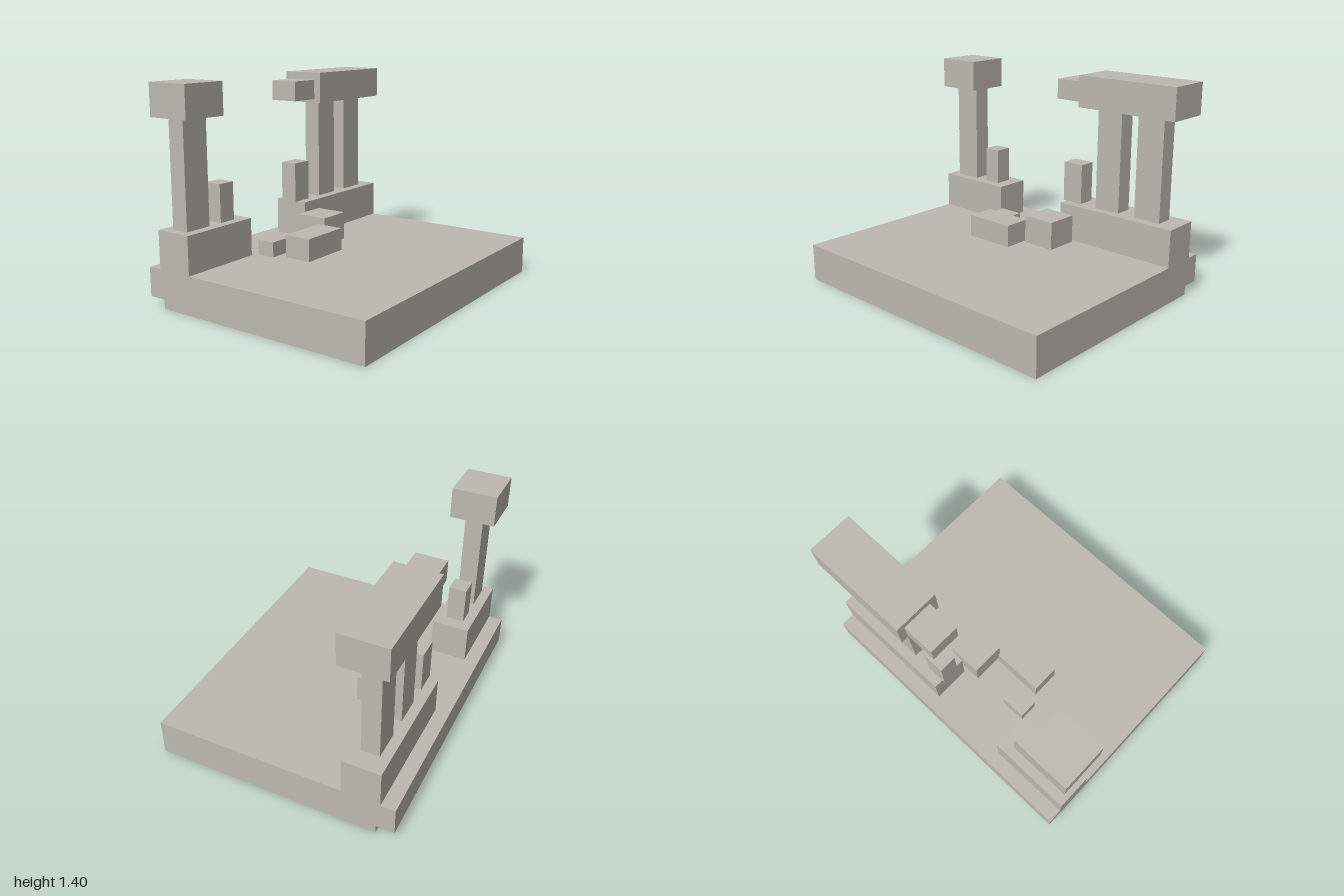
import * as THREE from 'three';

export function createModel() {
  const model = new THREE.Group();
  model.name = 'ruinedColonnade';

  const stone = new THREE.MeshStandardMaterial({ color: 0xbdb9b1 });
  stone.name = 'pale stone';

  // Box given by its extents along each axis
  const block = (name, [x0, x1], [y0, y1], [z0, z1]) => {
    const mesh = new THREE.Mesh(new THREE.BoxGeometry(x1 - x0, y1 - y0, z1 - z0), stone);
    mesh.name = name;
    mesh.position.set((x0 + x1) / 2, (y0 + y1) / 2, (z0 + z1) / 2);
    model.add(mesh);
  };

  const floor = 0.25, wallTop = 0.5, columnTop = 1.19;

  // Floor slab with an undercut along the back edge
  const profile = new THREE.Shape([
    [-0.81, 0], [0.69, 0], [0.69, 0.06], [0.81, 0.06], [0.81, floor], [-0.81, floor],
  ].map(([x, y]) => new THREE.Vector2(x, y)));
  const slabGeometry = new THREE.ExtrudeGeometry(profile, { depth: 2, bevelEnabled: false });
  slabGeometry.translate(0, 0, -1).rotateY(Math.PI / 2);
  const slab = new THREE.Mesh(slabGeometry, stone);
  slab.name = 'floorSlab';
  model.add(slab);

  // Low walls on both sides of the gap
  const wallZ = [-0.715, -0.465];
  block('rightWall', [-1, -0.44], [floor, wallTop], wallZ);
  block('leftWall', [0.125, 1], [floor, wallTop], wallZ);

  // Full columns
  const columnZ = [-0.65, -0.53];
  [[-0.94, -0.75], [0.375, 0.56], [0.685, 0.875]].forEach((x, i) =>
    block(`column${i + 1}`, x, [wallTop, columnTop], columnZ));

  // Broken column stumps
  block('rightStump', [-0.65, -0.53], [wallTop, 0.75], columnZ);
  block('leftStump', [0.1, 0.25], [wallTop, 0.775], columnZ);

  // Lintels and the broken beam end
  const lintelZ = [-0.74, -0.44];
  block('rightLintel', [-1, -0.69], [columnTop, 1.4], lintelZ);
  block('leftLintel', [0.275, 1], [columnTop, 1.4], lintelZ);
  block('brokenBeamEnd', [0.06, 0.275], [1.215, 1.35], [-0.69, -0.49]);

  // Fallen blocks
  block('smallRubble', [-0.4, -0.23], [floor, 0.35], [-0.44, -0.315]);
  block('longRubble', [-0.35, 0], [floor, 0.4], [-0.25, -0.06]);
  block('largeRubble', [0.02, 0.25], [floor, 0.44], [-0.44, -0.215]);

  return model;
}
